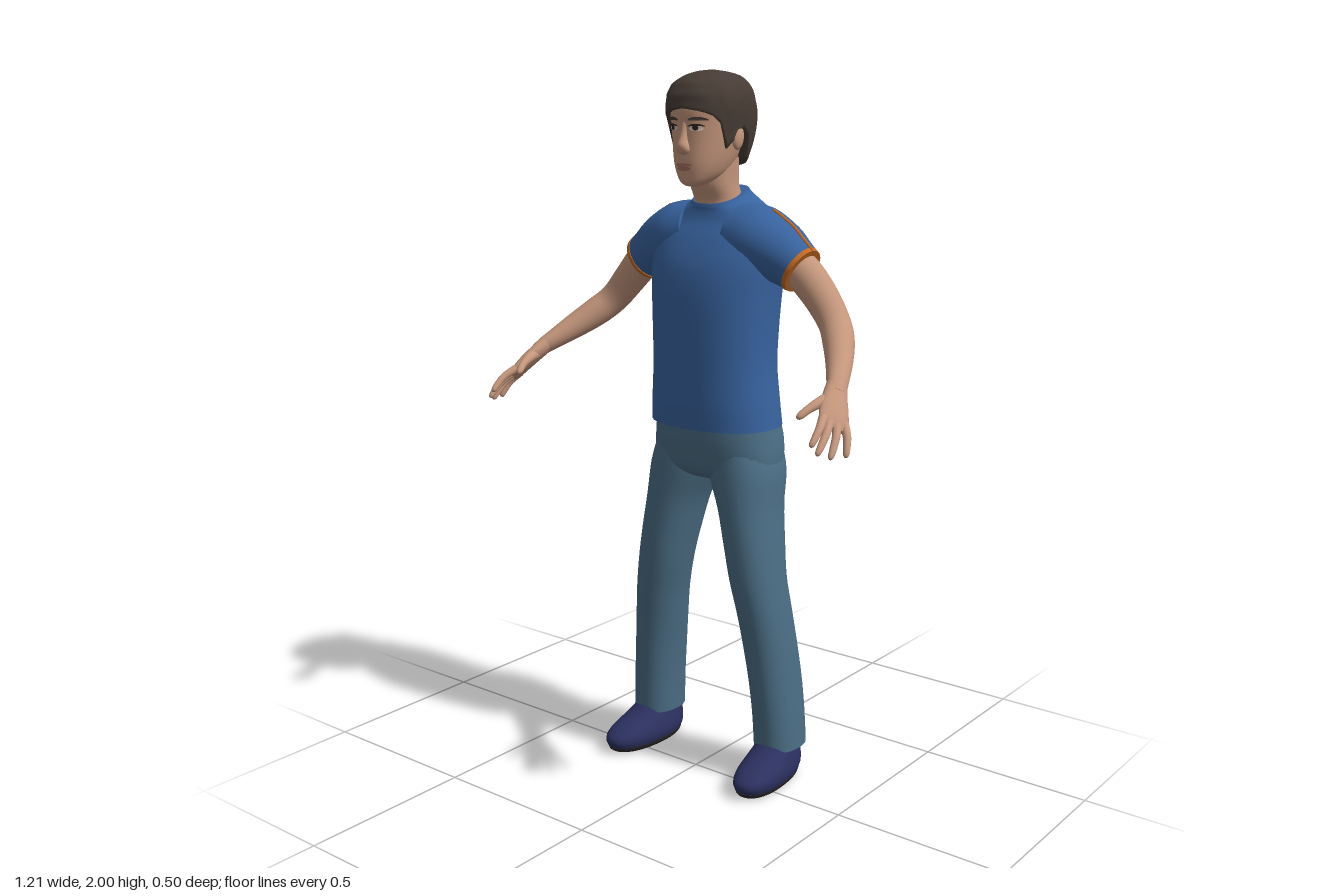
import * as THREE from 'three';

const N = 32; // points around each cross-section
const mat = (name, color, double) => {
  const m = new THREE.MeshStandardMaterial({ color });
  m.name = name;
  if (double) m.side = THREE.DoubleSide;
  return m;
};

// Skin a stack of closed rings: smoothed lengthwise, capped at both ends
function skin(rings, sub = 4) {
  const cols = Array.from({ length: N }, (_, j) => rings.map(r => r[j]));
  const curves = cols.map(c => (t) => {
    const f = t * (c.length - 1), i = Math.min(Math.floor(f), c.length - 2), u = f - i;
    const a = c[Math.max(i - 1, 0)], b = c[i], d = c[i + 1], e = c[Math.min(i + 2, c.length - 1)];
    const cr = (k) => b[k] + 0.5 * u * (d[k] - a[k] + u * (2 * a[k] - 5 * b[k] + 4 * d[k] - e[k] + u * (3 * (b[k] - d[k]) + e[k] - a[k])));
    return [cr('x'), cr('y'), cr('z')];
  });
  const rows = (rings.length - 1) * sub, pos = [], idx = [];
  for (let i = 0; i <= rows; i++) for (const c of curves) pos.push(...c(i / rows));
  for (let i = 0; i < rows; i++) for (let j = 0; j < N; j++) {
    const a = i * N + j, b = i * N + (j + 1) % N;
    idx.push(a, b, b + N, a, b + N, a + N);
  }
  for (const end of [0, rows]) {
    const base = pos.length / 3, mid = [0, 0, 0];
    for (let j = 0; j < N; j++) for (let k = 0; k < 3; k++) {
      const v = pos[(end * N + j) * 3 + k];
      pos.push(v);
      mid[k] += v / N;
    }
    pos.push(...mid);
    for (let j = 0; j < N; j++) {
      const a = base + j, b = base + (j + 1) % N;
      end ? idx.push(a, b, base + N) : idx.push(b, a, base + N);
    }
  }
  const g = new THREE.BufferGeometry();
  g.setAttribute('position', new THREE.Float32BufferAttribute(pos, 3));
  g.setIndex(idx);
  g.computeVertexNormals();
  return g;
}

const pw = (v, n) => Math.sign(v) * Math.abs(v) ** (2 / n);
// Level rings going up: [y, half width, front z, back z, centre x, forward tilt]
function loft(rows, n = 2.25) {
  return skin(rows.map(([y, rx, zf, zb, cx = 0, tilt = 0]) => Array.from({ length: N }, (_, j) => {
    const a = j / N * Math.PI * 2, c = pw(Math.cos(a), n);
    return new THREE.Vector3(cx + rx * pw(Math.sin(a), n), y - tilt * c, (zf + zb) / 2 + (zf - zb) / 2 * c);
  })));
}
// Rings along a path: [x, y, z, thickness radius, radius toward ref]
function limb(rows, ref = new THREE.Vector3(0, 0, 1)) {
  const p = rows.map(r => new THREE.Vector3(r[0], r[1], r[2]));
  return skin(rows.map((r, i) => {
    const T = p[Math.min(i + 1, p.length - 1)].clone().sub(p[Math.max(i - 1, 0)]).normalize();
    const V = ref.clone().addScaledVector(T, -ref.dot(T)).normalize();
    const U = T.clone().cross(V);
    return Array.from({ length: N }, (_, j) => {
      const a = j / N * Math.PI * 2;
      return p[i].clone().addScaledVector(V, Math.cos(a) * r[4]).addScaledVector(U, Math.sin(a) * r[3]);
    });
  }));
}
function mirrored(g) {
  const m = g.clone().scale(-1, 1, 1), ix = m.index.array;
  for (let i = 0; i < ix.length; i += 3) [ix[i], ix[i + 1]] = [ix[i + 1], ix[i]];
  return m;
}

const HEAD = [[1.695, .018, .03, -.005], [1.705, .038, .042, -.04], [1.725, .057, .047, -.09], [1.75, .069, .051, -.12],
  [1.78, .078, .052, -.145], [1.82, .086, .052, -.17], [1.86, .091, .054, -.185], [1.9, .094, .056, -.19],
  [1.94, .086, .043, -.18], [1.975, .05, 0, -.13]];
const HAIR = [[1.73, .075, .03, -.155], [1.76, .09, .045, -.173], [1.8, .1, .055, -.192], [1.86, .107, .063, -.207],
  [1.9, .11, .069, -.205], [1.935, .106, .066, -.197], [1.965, .091, .047, -.181], [1.985, .066, .015, -.155],
  [1.996, .035, -.025, -.115], [2.0, .003, -.065, -.071]];
const sample = (rows, y) => {
  let i = 0;
  while (i < rows.length - 2 && rows[i + 1][0] < y) i++;
  const u = THREE.MathUtils.clamp((y - rows[i][0]) / (rows[i + 1][0] - rows[i][0]), 0, 1);
  return rows[i].map((v, k) => v + u * (rows[i + 1][k] - v));
};
const faceZ = (x, y) => {
  const [, rx, zf, zb] = sample(HEAD, y);
  return (zf + zb) / 2 + (zf - zb) / 2 * Math.max(0, 1 - Math.abs(x / rx) ** 2.25) ** (1 / 2.25);
};
// Thin oval laid on the face
function patch(x, y, w, h, lift, bend = 0) {
  const g = new THREE.CircleGeometry(1, 24), p = g.attributes.position;
  for (let i = 0; i < p.count; i++) {
    const px = x + p.getX(i) * w, py = y + p.getY(i) * h - bend * p.getX(i) ** 2;
    p.setXYZ(i, px, py, faceZ(px, py) + lift);
  }
  g.computeVertexNormals();
  return g;
}

// Hair cap whose lower edge follows fringe, sideburns, ears and nape
function hairGeometry() {
  const edge = [[0, 1.9], [.5, 1.892], [.95, 1.875], [1.12, 1.8], [1.32, 1.785], [1.42, 1.85], [1.72, 1.85], [1.88, 1.775], [2.4, 1.752], [3.15, 1.742]];
  const rings = [];
  for (let i = 0; i <= 14; i++) rings.push(Array.from({ length: N }, (_, j) => {
    const a = j / N * Math.PI * 2, bottom = sample(edge, Math.min(a, Math.PI * 2 - a))[1];
    const t = Math.max(0, (i - 1) / 13), y = bottom + (2.0 - bottom) * Math.sin(t * Math.PI / 2);
    const [, rx, zf, zb] = sample(HAIR, y);
    const k = (i === 0 ? .86 : 1) + .012 * Math.sin(a * 7 + i) * Math.sin(t * Math.PI);
    return new THREE.Vector3(k * rx * pw(Math.sin(a), 2.2), y, (zf + zb) / 2 + k * (zf - zb) / 2 * pw(Math.cos(a), 2.2));
  }));
  return skin(rings, 2);
}

export function createModel() {
  const model = new THREE.Group();
  model.name = 'standingMan';
  const M = {
    skin: mat('skin', 0xc4967c), hair: mat('darkBrownHair', 0x473c35), shirt: mat('blueShirt', 0x38639f),
    pants: mat('denim', 0x4b6d84), shoe: mat('navyShoe', 0x2c3160), sole: mat('darkSole', 0x2b2727),
    trim: mat('orangeTrim', 0xc46a22), white: mat('eyeWhite', 0xd2c2b6, true), iris: mat('darkIris', 0x2a1d17, true), lip: mat('lips', 0xa8705e, true),
  };
  const add = (name, g, m) => {
    const mesh = new THREE.Mesh(g, m);
    mesh.name = name;
    model.add(mesh);
  };
  const pair = (name, g, m) => {
    add(name + 'Left', g, m);
    add(name + 'Right', mirrored(g), m);
  };

  // Head and neck
  add('head', loft(HEAD), M.skin);
  add('neck', loft([[1.6, .075, -.03, -.185], [1.65, .066, -.038, -.168], [1.7, .062, -.012, -.152], [1.77, .066, 0, -.15]]), M.skin);
  add('hair', hairGeometry(), M.hair);
  add('nose', limb([[0, 1.784, .046, .012, .008], [0, 1.79, .053, .019, .014], [0, 1.802, .057, .018, .017], [0, 1.825, .053, .011, .012], [0, 1.865, .047, .009, .007]]), M.skin);
  pair('ear', new THREE.SphereGeometry(1, 16, 12).scale(.012, .033, .021).rotateX(-.15).translate(.097, 1.823, -.058), M.skin);
  pair('eyeWhite', patch(.038, 1.848, .018, .0075, .003), M.white);
  pair('iris', patch(.037, 1.849, .0075, .007, .005), M.iris);
  pair('upperLid', patch(.038, 1.857, .021, .0025, .005, .004), M.iris);
  pair('eyebrow', patch(.041, 1.873, .025, .0045, .004, .004), M.hair);
  add('upperLip', patch(0, 1.751, .027, .005, .004), M.lip);
  add('lowerLip', patch(0, 1.742, .023, .006, .005), M.lip);

  // Shirt
  add('shirtBody', loft([[1.03, .196, .045, -.238], [1.1, .19, .05, -.232], [1.2, .182, .052, -.226], [1.3, .184, .053, -.23],
    [1.4, .19, .05, -.237], [1.48, .198, .036, -.241], [1.55, .197, .004, -.237], [1.6, .172, -.025, -.225, 0, .005],
    [1.635, .125, -.035, -.208, 0, .012], [1.656, .088, -.036, -.192, 0, .02], [1.668, .076, -.038, -.184, 0, .023]], 2.35), M.shirt);
  const sleeve = limb([[.07, 1.56, -.112, .09, .1], [.13, 1.55, -.112, .094, .105], [.195, 1.522, -.112, .085, .093],
    [.24, 1.496, -.111, .073, .077], [.275, 1.475, -.11, .064, .067]]);
  pair('sleeve', sleeve, M.shirt);
  pair('cuffTrim', limb([[.2665, 1.48, -.11, .068, .071], [.277, 1.474, -.11, .065, .068]]), M.trim);
  // Shoulder seam runs along the top column of the sleeve
  const top = [];
  for (let i = 5; i <= 16; i++) top.push(new THREE.Vector3().fromBufferAttribute(sleeve.attributes.position, i * N + N * 3 / 4));
  pair('shoulderSeam', new THREE.TubeGeometry(new THREE.CatmullRomCurve3(top), 30, .005, 6), M.trim);

  // Arms and hands
  pair('arm', limb([[.19, 1.52, -.112, .05, .052], [.27, 1.475, -.112, .052, .053], [.33, 1.415, -.113, .048, .049],
    [.385, 1.35, -.1, .043, .045], [.425, 1.308, -.062, .042, .043], [.468, 1.263, 0, .035, .036], [.508, 1.218, .07, .024, .029], [.522, 1.2, .092, .02, .028]]), M.skin);
  const spread = new THREE.Vector3(-.5, .35, .79).normalize();
  pair('palm', limb([[.503, 1.228, .06, .024, .026], [.518, 1.2, .093, .022, .033], [.536, 1.17, .125, .019, .041],
    [.55, 1.145, .148, .015, .042], [.558, 1.13, .162, .008, .035]], spread), M.skin);
  const tips = [[.55, 1.1, .25], [.566, 1.08, .246], [.585, 1.067, .216], [.6, 1.065, .168]];
  tips.forEach((t, i) => {
    const tip = new THREE.Vector3(...t);
    const base = new THREE.Vector3(.549, 1.147, .146).addScaledVector(spread, .031 - i * .0205);
    const rows = [[0, .012], [.45, .0105], [.8, .009], [.95, .007], [1, .003]].map(([u, r]) => {
      const p = base.clone().lerp(tip, u), b = Math.sin(u * Math.PI) * .006;
      return [p.x + b, p.y + b, p.z, r, r];
    });
    pair('finger' + (i + 1), limb(rows, spread), M.skin);
  });
  pair('thumb', limb([[.516, 1.2, .09, .016, .016], [.508, 1.19, .135, .015, .015], [.497, 1.177, .175, .011, .011],
    [.486, 1.16, .203, .009, .009], [.483, 1.155, .211, .003, .003]], new THREE.Vector3(1, 0, 0)), M.skin);

  // Trousers
  add('hips', loft([[.868, .04, -.06, -.15], [.88, .12, -.02, -.195], [.905, .19, .01, -.222], [.95, .198, .022, -.24],
    [1.0, .191, .03, -.247], [1.05, .182, .032, -.232]], 2.4), M.pants);
  pair('trouserLeg', loft([[.1, .067, -.025, -.192, .226], [.2, .066, -.02, -.19, .221], [.3, .066, -.013, -.186, .212],
    [.4, .068, -.005, -.176, .2], [.5, .07, .006, -.166, .186], [.6, .073, .016, -.162, .167], [.7, .077, .018, -.175, .149],
    [.8, .083, .016, -.193, .129], [.9, .101, .012, -.22, .105], [.97, .09, .005, -.222, .095]]), M.pants);

  // Shoes, toes turned slightly out
  const place = g => g.rotateY(.09).translate(.234, 0, -.002);
  pair('shoe', place(loft([[.018, .061, .1, -.178], [.035, .066, .109, -.186], [.052, .066, .104, -.188], [.068, .063, .08, -.187],
    [.085, .058, .04, -.184], [.103, .053, 0, -.178], [.125, .047, -.03, -.17]])), M.shoe);
  pair('sole', place(loft([[0, .05, .075, -.165], [.008, .058, .095, -.175], [.02, .0625, .103, -.18]])), M.sole);
  return model;
}
